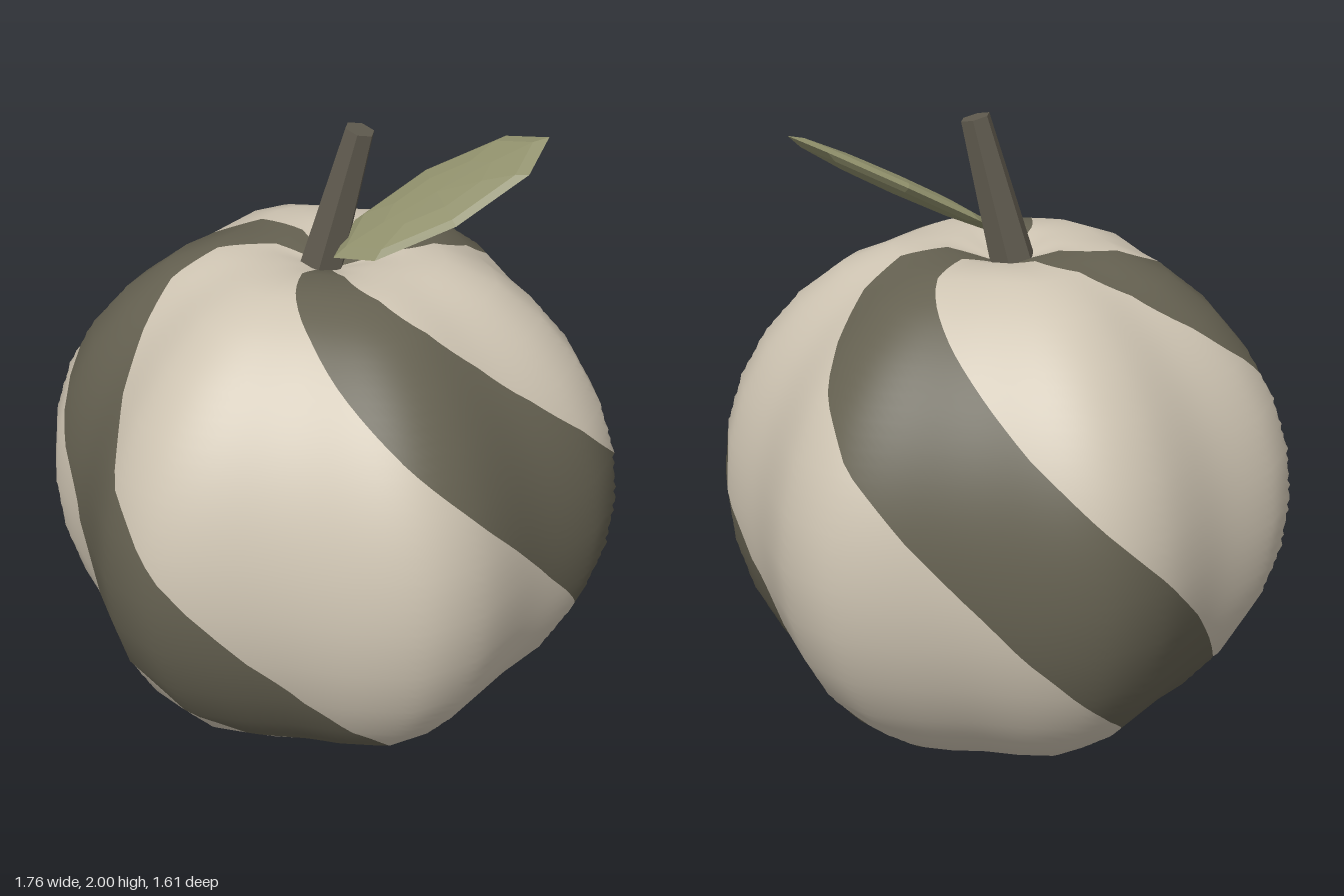
import * as THREE from 'three';

const rad = THREE.MathUtils.degToRad;
const COLUMNS = 28, RINGS = 16; // facets of the fruit body

const pale = new THREE.MeshStandardMaterial({ color: 0xcfc5b3 });
pale.name = 'pale skin';
const dark = new THREE.MeshStandardMaterial({ color: 0x656151 });
dark.name = 'dark stripe';
const bark = new THREE.MeshStandardMaterial({ color: 0x5f5a4e });
bark.name = 'stem brown';
const green = new THREE.MeshStandardMaterial({ color: 0x8f8f6b });
green.name = 'leaf green';

// Six-lobed ball with a shallow dimple on top; turn is measured from +z towards +x
function skin(turn, phi) {
  const r = (0.8375 - 0.045 * Math.cos(6 * turn)) * Math.sin(phi);
  let y = 0.84 + 0.84 * Math.cos(phi);
  if (phi < Math.PI / 2) y -= 0.13 * Math.max(0, 1 - Math.sin(phi) / 0.6) ** 2;
  return new THREE.Vector3(r * Math.sin(turn), y, r * Math.cos(turn));
}

// The same ball reduced to its facets
function facet(turn, phi) {
  const du = 2 * Math.PI / COLUMNS, dv = Math.PI / RINGS;
  const i = Math.floor(turn / du), j = Math.min(RINGS - 1, Math.floor(phi / dv));
  const row = (k) => skin(i * du, k * dv).lerp(skin((i + 1) * du, k * dv), turn / du - i);
  return row(j).lerp(row(j + 1), phi / dv - j);
}

function skinNormal(turn, phi) {
  const p = THREE.MathUtils.clamp(phi, 0.03, Math.PI - 0.03), e = 0.01;
  const down = skin(turn, p + e).sub(skin(turn, p - e));
  const across = skin(turn + e, p).sub(skin(turn - e, p));
  return down.cross(across).normalize();
}

// A strip of skin that makes half a turn from the top pole to the bottom pole
function spiralBand(start, width, material, name) {
  const cols = Math.round(width / 2), rows = 64;
  const positions = [], normals = [], index = [];
  for (let j = 0; j <= rows; j++) {
    const phi = Math.PI * j / rows;
    for (let i = 0; i <= cols; i++) {
      const turn = rad(start + width * i / cols) + phi;
      positions.push(...facet(turn, phi).toArray());
      normals.push(...skinNormal(turn, phi).toArray());
      if (i < cols && j < rows) {
        const a = j * (cols + 1) + i, b = a + cols + 1;
        index.push(a, b, b + 1, a, b + 1, a + 1);
      }
    }
  }
  const geometry = new THREE.BufferGeometry();
  geometry.setAttribute('position', new THREE.Float32BufferAttribute(positions, 3));
  geometry.setAttribute('normal', new THREE.Float32BufferAttribute(normals, 3));
  geometry.setIndex(index);
  const mesh = new THREE.Mesh(geometry, material);
  mesh.name = name;
  return mesh;
}

function flatMesh(geometry, material, name) {
  const flat = geometry.toNonIndexed();
  flat.computeVertexNormals();
  const mesh = new THREE.Mesh(flat, material);
  mesh.name = name;
  return mesh;
}

export function createModel() {
  const model = new THREE.Group();
  model.name = 'stripedFruit';

  // Body: three dark stripes with pale skin between them
  const body = new THREE.Group();
  body.name = 'body';
  for (let k = 0; k < 3; k++) {
    const start = -151 + 120 * k;
    body.add(spiralBand(start, 42, dark, 'stripe'));
    body.add(spiralBand(start + 42, 78, pale, 'skin'));
  }
  model.add(body);

  // Stem: tapered six-sided stalk leaning to the left
  const stem = flatMesh(new THREE.CylinderGeometry(0.045, 0.07, 0.45, 6), bark, 'stem');
  stem.position.set(0.027, 1.772, 0);
  stem.rotation.z = -0.25;
  model.add(stem);

  // Leaf: flattened low-poly ellipsoid rising from the foot of the stem
  const along = new THREE.Vector3(0.293, 0.163, -0.104).normalize();
  const up = along.clone().cross(new THREE.Vector3(-0.051, 0.032, -0.129)).normalize();
  const side = along.clone().cross(up);
  const blade = new THREE.SphereGeometry(1, 8, 6).scale(0.351, 0.028, 0.142);
  const leaf = flatMesh(blade, green, 'leaf');
  leaf.quaternion.setFromRotationMatrix(new THREE.Matrix4().makeBasis(along, up, side));
  leaf.position.set(0.314, 1.787, -0.023);
  model.add(leaf);

  return model;
}
